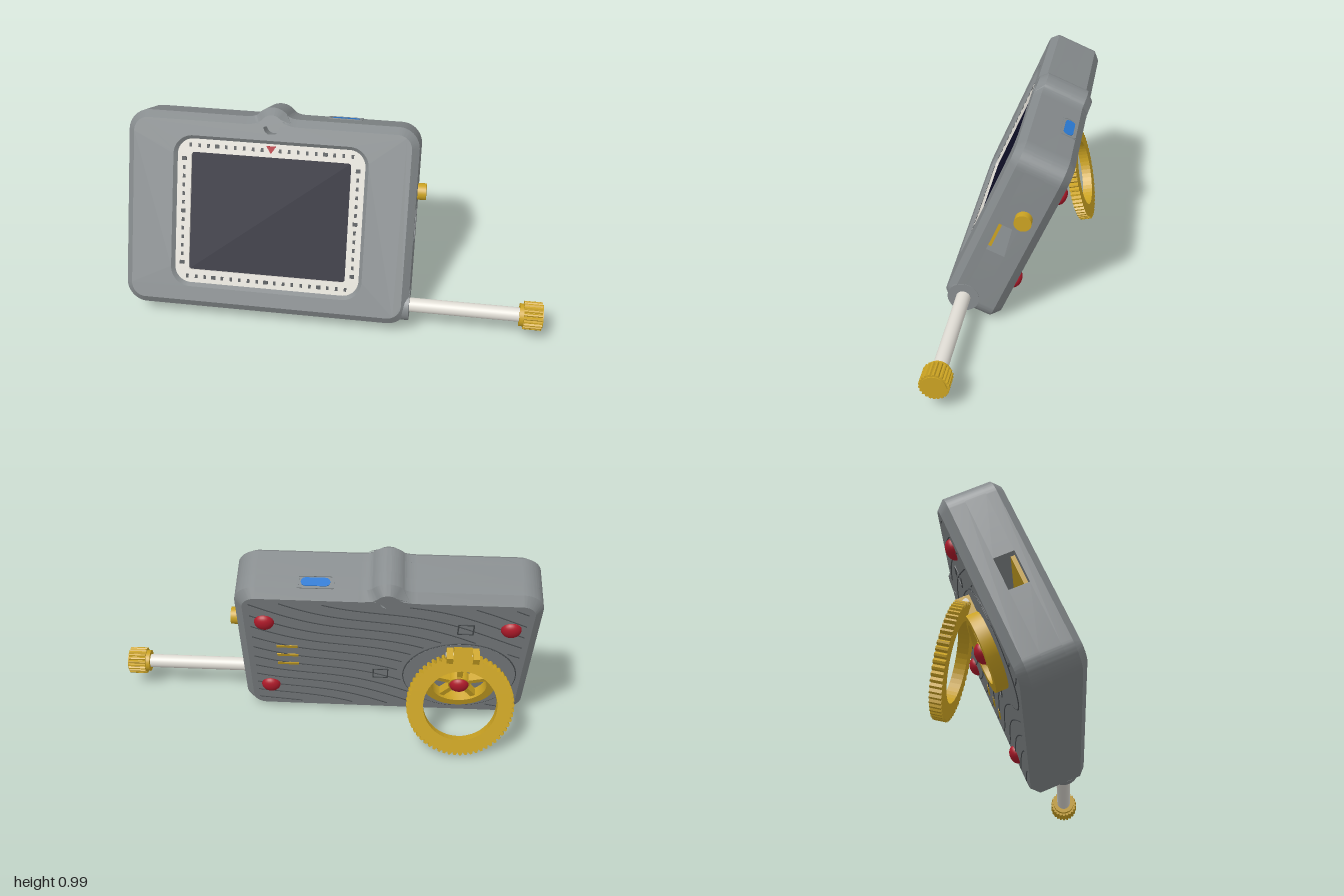
import * as THREE from 'three';
import { toCreasedNormals } from 'three/addons/utils/BufferGeometryUtils.js';

const paint = (name, color) => {
  const m = new THREE.MeshStandardMaterial({ color });
  m.name = name;
  return m;
};

export function createModel() {
  const grey = paint('body grey', 0x858a8c), dark = paint('groove grey', 0x4b4f52);
  const white = paint('off white', 0xe0ddd5), navy = paint('screen navy', 0x0e0e26);
  const gold = paint('gold', 0xcaa222), red = paint('red', 0xb01a2a), blue = paint('blue', 0x2a78d0);

  const root = new THREE.Group();
  root.name = 'tiltedDevice';
  // Tilted frame: x across, y up along the face, z out of the face
  const device = new THREE.Group();
  device.name = 'device';
  device.rotation.x = -0.403;
  device.position.x = -0.315;
  root.add(device);

  const add = (parent, name, geo, mat, x = 0, y = 0, z = 0) => {
    const m = new THREE.Mesh(geo, mat);
    m.name = name;
    m.position.set(x, y, z);
    parent.add(m);
    return m;
  };
  const box = (w, h, d) => new THREE.BoxGeometry(w, h, d);
  const extrude = (shape, depth) => toCreasedNormals(
    new THREE.ExtrudeGeometry(shape, { depth, bevelEnabled: false, curveSegments: 16 }), 0.5);
  const rod = (r, len, n = 32) => new THREE.CylinderGeometry(r, r, len, n).rotateZ(Math.PI / 2);

  const W = 0.685, LO = -0.042, HI = 0.895, R = 0.1, MID = 0.4265, HOLE_Y = 0.855;
  const BACK = 0.061, FRONT = 0.339, SLOT0 = 0.17, SLOT1 = 0.26;

  function roundRect(w, h, r, cy = 0, S = THREE.Shape) {
    const s = new S(), x = w / 2, y = h / 2, q = Math.PI / 2;
    s.moveTo(-x + r, cy - y);
    s.absarc(x - r, cy - y + r, r, -q, 0);
    s.absarc(x - r, cy + y - r, r, 0, q);
    s.absarc(-x + r, cy + y - r, r, q, 2 * q);
    s.absarc(-x + r, cy - y + r, r, 2 * q, 3 * q);
    s.closePath();
    return s;
  }

  // Case outline between two heights, with rounded bottom and/or humped top
  function outline(lo, hi, bottom, top) {
    const s = new THREE.Shape(), q = Math.PI / 2, a = 0.698;
    if (bottom) {
      s.moveTo(-W + R, lo);
      s.lineTo(W - R, lo);
      s.absarc(W - R, lo + R, R, -q, 0);
    } else {
      s.moveTo(-W, lo);
      s.lineTo(W, lo);
    }
    if (top) {
      s.absarc(W - R, hi - R, R, 0, q);
      s.lineTo(0.13, hi);
      s.quadraticCurveTo(0.081, hi, 0.0674, 0.9116);
      s.absarc(0, HOLE_Y, 0.088, a, Math.PI - a);
      s.quadraticCurveTo(-0.081, hi, -0.13, hi);
      s.lineTo(-W + R, hi);
      s.absarc(-W + R, hi - R, R, q, 2 * q);
    } else {
      s.lineTo(W, hi);
      s.lineTo(-W, hi);
    }
    if (bottom) s.absarc(-W + R, lo + R, R, 2 * q, 3 * q);
    s.closePath();
    return s;
  }

  // Plate chamfered on its outer side only; the hump hole stays straight
  function chamferPlate(shape, depth, c) {
    const r = 0.037;
    shape.holes.push(new THREE.Path().absarc(0, HOLE_Y, r, 0, Math.PI * 2, true));
    const g = new THREE.ExtrudeGeometry(shape, {
      depth: depth - c, bevelThickness: c, bevelSize: c, bevelOffset: -c, bevelSegments: 1, curveSegments: 12,
    });
    const p = g.attributes.position;
    for (let i = 0; i < p.count; i++) {
      if (p.getZ(i) < 0) p.setZ(i, 0);
      const x = p.getX(i), y = p.getY(i) - HOLE_Y, d = Math.hypot(x, y);
      if (Math.abs(d - r - c * 1.0086) < 0.001) p.setXY(i, x * r / d, HOLE_Y + y * r / d);
    }
    return toCreasedNormals(g, 0.5);
  }

  // Case: front and back plates around a middle with a slot through both sides
  const face = outline(LO, HI, true, true);
  face.holes.push(roundRect(0.854, 0.664, 0.06, MID, THREE.Path));
  add(device, 'frontCase', chamferPlate(face, FRONT - SLOT1, 0.033), grey, 0, 0, SLOT1);
  add(device, 'backCase', chamferPlate(outline(LO, HI, true, true), SLOT0 - BACK, 0.037).rotateY(Math.PI),
    grey, 0, 0, SLOT0);
  add(device, 'lowerCase', extrude(outline(LO, 0.35, true, false), SLOT1 - SLOT0), grey, 0, 0, SLOT0);
  add(device, 'upperCase', extrude(outline(0.505, HI, false, true), SLOT1 - SLOT0), grey, 0, 0, SLOT0);
  add(device, 'innerBoard', box(1.3, 0.155, 0.018), gold, 0, 0.4275, 0.251);

  // Bezel and screen
  const bezel = roundRect(0.89, 0.7, 0.075, MID);
  bezel.holes.push(roundRect(0.755, 0.57, 0.015, MID, THREE.Path));
  add(device, 'bezel', extrude(bezel, 0.0625), white, 0, 0, SLOT1);
  add(device, 'screen', box(0.76, 0.575, 0.04), navy, 0, MID, 0.291);

  // Scale marks round the bezel
  const tick = (x, y, big) => add(device, 'scaleMark', box(big ? 0.022 : 0.012, 0.018, 0.003), dark, x, y, 0.323);
  for (const s of [-1, 1]) {
    for (let i = 0; i < 19; i++) {
      if (s > 0 && i === 9) continue;
      tick((i - 9) * 0.0425, MID + s * 0.318, i % 6 === 3);
    }
    for (let i = 0; i < 13; i++) tick(s * 0.411, MID + (i - 6) * 0.042, i % 6 === 0);
  }
  const tri = new THREE.Shape([[0, -0.018], [0.023, 0.018], [-0.023, 0.018]].map(a => new THREE.Vector2(...a)));
  add(device, 'pointer', extrude(tri, 0.004), red, 0, MID + 0.32, 0.322);

  // Top socket
  const rim = roundRect(0.165, 0.075, 0.008);
  rim.holes.push(roundRect(0.145, 0.058, 0.006, 0, THREE.Path));
  add(device, 'socketRim', extrude(rim, 0.004).rotateX(-Math.PI / 2), grey, 0.32, HI, 0.137);
  add(device, 'socket', extrude(roundRect(0.13, 0.046, 0.022), 0.003).rotateX(-Math.PI / 2), blue, 0.32, HI, 0.137);

  // Side button
  add(device, 'sideButton', rod(0.04, 0.05), gold, 0.7, 0.58, 0.171);

  // Toothed wheel shape
  function gear(n, r0, r1) {
    const pts = [];
    for (let i = 0; i < n; i++) {
      [[0, r0], [0.3, r1], [0.65, r1], [0.95, r0]].forEach(([f, r]) => {
        const a = (i + f) / n * Math.PI * 2;
        pts.push(new THREE.Vector2(Math.cos(a) * r, Math.sin(a) * r));
      });
    }
    return new THREE.Shape(pts);
  }

  // Side stem with fluted knob
  const stem = new THREE.Group();
  stem.name = 'stem';
  stem.position.set(0, 0.14, 0.215);
  root.add(stem);
  add(stem, 'stemSocket', rod(0.075, 0.045), grey, 0.35);
  add(stem, 'stemRod', rod(0.034, 0.6), white, 0.61);
  add(stem, 'knobCollar', rod(0.054, 0.03), gold, 0.905);
  const flutes = new THREE.ExtrudeGeometry(gear(22, 0.06, 0.067), { depth: 0.085, bevelEnabled: false });
  add(stem, 'knob', flutes.rotateY(Math.PI / 2), gold, 0.91);
  add(stem, 'knobCap', rod(0.056, 0.006), gold, 0.997);

  // Back: hub disc and its border
  const HX = -0.355, HY = 0.3;
  add(device, 'hubDisc', new THREE.CylinderGeometry(0.265, 0.265, 0.008, 64).rotateX(Math.PI / 2), grey, HX, HY, BACK);
  add(device, 'hubDiscEdge', new THREE.TorusGeometry(0.266, 0.004, 6, 64), dark, HX, HY, BACK);

  // Flowing grooves, broken at the hub disc and the case edge
  for (let k = 0; k < 17; k++) {
    let run = [];
    for (let i = 0; i <= 64; i++) {
      const x = -0.62 + i * 1.24 / 64;
      const y = -0.13 + k * 0.075 + 0.32 * x + 0.035 * Math.sin(x * 6 + k * 0.25);
      const inside = y > 0.02 && y < 0.83 && Math.hypot(x - HX, y - HY) > 0.28;
      if (inside) run.push(new THREE.Vector3(x, y, BACK));
      if ((!inside || i === 64) && run.length) {
        if (run.length > 3) {
          add(device, 'groove', new THREE.TubeGeometry(new THREE.CatmullRomCurve3(run), run.length, 0.0035, 4), dark);
        }
        run = [];
      }
    }
  }

  // Vents and small square marks
  for (let i = 0; i < 3; i++) add(device, 'vent', box(0.1, 0.016, 0.008), gold, 0.46, 0.36 + i * 0.07, BACK);
  for (const [x, y] of [[HX, 0.68], [0.02, HY]]) {
    const mark = roundRect(0.075, 0.075, 0.004);
    mark.holes.push(roundRect(0.063, 0.063, 0.003, 0, THREE.Path));
    add(device, 'squareMark', extrude(mark, 0.008), dark, x, y, BACK - 0.004);
  }

  // Rubber feet and the red hub centre
  const dome = new THREE.SphereGeometry(0.046, 24, 8, 0, Math.PI * 2, 0, Math.PI / 2)
    .scale(1, 0.7, 1).rotateX(-Math.PI / 2);
  [[0.555, 0.69], [0.555, 0.17], [-0.555, 0.69]].forEach(([x, y]) => add(device, 'foot', dome, red, x, y, BACK));
  add(device, 'hubCentre', dome, red, HX, HY, 0.012);

  // Gold hub: rim, spokes and core
  const hub = new THREE.Shape().absarc(0, 0, 0.17, 0, Math.PI * 2);
  hub.holes.push(new THREE.Path().absarc(0, 0, 0.13, 0, Math.PI * 2, true));
  add(device, 'hubRim', extrude(hub, 0.058), gold, HX, HY, 0.003);
  add(device, 'hubCore', new THREE.CylinderGeometry(0.052, 0.052, 0.05, 32).rotateX(Math.PI / 2), gold, HX, HY, 0.035);
  for (let i = 0; i < 5; i++) {
    const a = Math.PI / 2 + i * Math.PI * 0.4;
    add(device, 'hubSpoke', box(0.1, 0.025, 0.045), gold, HX + Math.cos(a) * 0.09, HY + Math.sin(a) * 0.09, 0.038)
      .rotation.z = a;
  }

  // Hinge lugs and pin
  for (const s of [-1, 1]) add(device, 'hingeLug', box(0.03, 0.09, 0.075), gold, HX + s * 0.06, 0.495, 0.03);
  add(device, 'hingePin', rod(0.013, 0.156, 16), white, HX, 0.515, 0.033);

  // Fold-out ring stand with toothed rim
  const stand = new THREE.Group();
  stand.name = 'ringStand';
  stand.position.set(-0.67, 0.25, -0.228);
  stand.rotation.x = 0.235;
  root.add(stand);
  const ring = gear(60, 0.236, 0.25);
  ring.holes.push(new THREE.Path().absarc(0, 0, 0.172, 0, Math.PI * 2, true));
  add(stand, 'standRing', new THREE.ExtrudeGeometry(ring, { depth: 0.05, bevelEnabled: false, curveSegments: 24 }),
    gold, 0, 0, -0.025);
  add(stand, 'standTab', box(0.085, 0.07, 0.05), gold, 0, 0.247, 0);

  return root;
}
